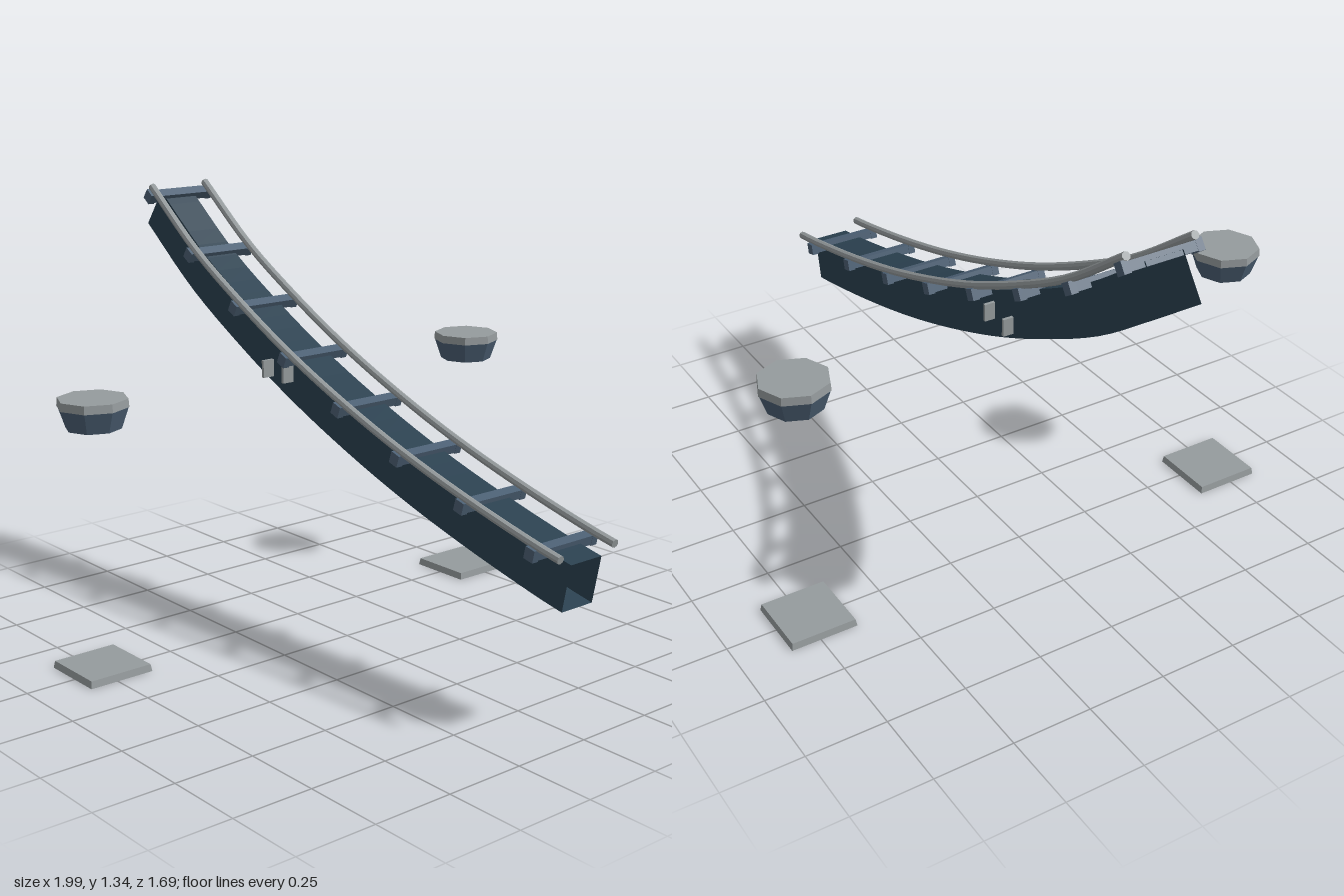
import * as THREE from 'three';

export function createModel() {
  const model = new THREE.Group();
  const material = (name, color) => {
    const m = new THREE.MeshStandardMaterial({ color, flatShading: true });
    m.name = name;
    return m;
  };
  const beamPaint = material('dark blue steel', 0x2b4150);
  beamPaint.side = THREE.DoubleSide; // the box beam is open at both ends
  const slate = material('slate steel', 0x4c6074);
  const grey = material('light grey', 0x959b9d);

  const add = (parent, name, geometry, mat, x = 0, y = 0, z = 0) => {
    const mesh = new THREE.Mesh(geometry, mat);
    mesh.name = name;
    mesh.position.set(x, y, z);
    parent.add(mesh);
    return mesh;
  };

  // Centre line along the top face of the beam, drifting slightly in z
  const path = new THREE.CatmullRomCurve3(
    [[-0.91, 1.313], [-0.66, 1.13], [-0.42, 0.995], [-0.17, 0.873], [0.1, 0.763],
      [0.36, 0.673], [0.63, 0.596], [0.905, 0.53], [0.99, 0.513]]
      .map(([x, y]) => new THREE.Vector3(x, y, -0.004 + 0.012 * x - 0.003 * x * x)));

  // Sweep a profile of [sideways, upward] offsets along the path
  function sweep(profile, steps, capped) {
    const n = profile.length, positions = [], index = [];
    for (let s = 0; s <= steps; s++) {
      const p = path.getPointAt(s / steps), t = path.getTangentAt(s / steps);
      for (const [side, up] of profile) {
        positions.push(p.x - t.y * up, p.y + t.x * up, p.z + side);
      }
    }
    for (let s = 0; s < steps; s++) {
      for (let i = 0; i < n; i++) {
        const a = s * n + i, b = s * n + (i + 1) % n;
        index.push(a, a + n, b, b, a + n, b + n);
      }
    }
    if (capped) {
      const e = steps * n;
      for (let i = 1; i < n - 1; i++) index.push(0, i, i + 1, e, e + i + 1, e + i);
    }
    const g = new THREE.BufferGeometry();
    g.setAttribute('position', new THREE.Float32BufferAttribute(positions, 3));
    g.setIndex(index);
    g.computeVertexNormals();
    return g;
  }

  // Curved box beam
  add(model, 'beam', sweep([[-0.059, -0.143], [0.059, -0.143], [0.059, 0], [-0.059, 0]], 32, false), beamPaint);

  // Pair of round rails
  for (const side of [-1, 1]) {
    const circle = [];
    for (let i = 0; i < 8; i++) {
      const a = (i / 8) * Math.PI * 2;
      circle.push([side * 0.106 + 0.0125 * Math.cos(a), 0.026 + 0.0125 * Math.sin(a)]);
    }
    add(model, side > 0 ? 'frontRail' : 'backRail', sweep(circle, 32, true), grey);
  }

  // Cross ties with a clamp under each rail
  for (let i = 0; i < 8; i++) {
    const u = 0.01 + i * 0.135;
    const t = path.getTangentAt(u);
    const tie = new THREE.Group();
    tie.name = 'crossTie';
    tie.position.copy(path.getPointAt(u));
    tie.rotation.z = Math.atan2(t.y, t.x);
    add(tie, 'tieBar', new THREE.BoxGeometry(0.032, 0.028, 0.24), slate);
    for (const side of [-1, 1]) {
      add(tie, 'railClamp', new THREE.BoxGeometry(0.034, 0.036, 0.022), slate, 0, 0.001, side * 0.114);
    }
    model.add(tie);
  }

  // Thin connector plates standing out from both sides of the beam
  for (const x of [-0.3, -0.2]) {
    for (const side of [-1, 1]) {
      add(model, 'connectorPlate', new THREE.BoxGeometry(0.01, 0.055, 0.045), grey, x, 0.82, side * 0.073 - 0.004);
    }
  }

  // Tapered octagonal column heads and square footings on each side
  for (const [x, z] of [[-0.262, 0.735], [-0.25, -0.737]]) {
    const support = new THREE.Group();
    support.name = 'support';
    support.position.set(x, 0, z);
    add(support, 'columnHead', new THREE.CylinderGeometry(0.105, 0.083, 0.064, 8), slate, 0, 0.78, 0);
    add(support, 'columnCap', new THREE.CylinderGeometry(0.105, 0.107, 0.025, 8), grey, 0, 0.8245, 0);
    const footing = new THREE.CylinderGeometry(0.145, 0.15, 0.022, 4);
    footing.rotateY(Math.PI / 4);
    add(support, 'footing', footing, grey, 0, 0.011, 0);
    model.add(support);
  }

  return model;
}
